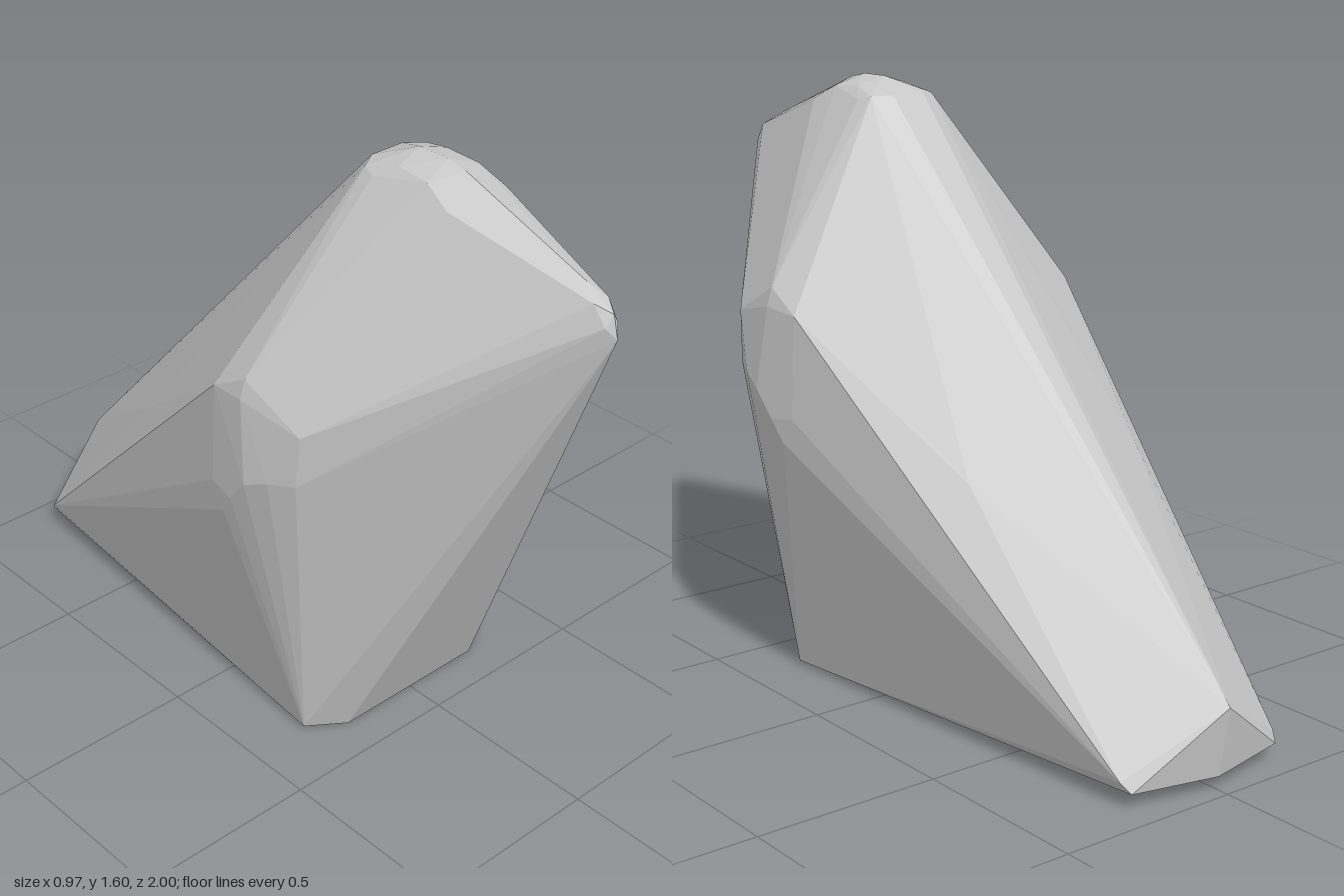
import * as THREE from 'three';
import { ConvexGeometry } from 'three/addons/geometries/ConvexGeometry.js';

// Key points of the faceted shell on the +x side, each mirrored to -x
const base = [
  [0.23, 0, 0.39], [0.335, 0.01, 0.33],
];
const tail = [
  [0, 0.22, -1], [0, 0.035, -0.97], [0.24, 0.04, -0.925], [0.255, 0.065, -0.9],
];
const shoulder = [
  [0.465, 1.04, 0.25], [0.45, 1.09, 0.25], [0.455, 1.03, 0.14], [0.435, 1.0, 0.43],
  [0.44, 0.86, 0.42], [0.47, 0.85, 0.35], [0.485, 0.82, 0.28], [0.48, 0.75, 0.22],
  [0.47, 0.69, 0.18], [0.468, 0.76, 0.14], [0.28, 0.67, -0.36],
];
const nose = [
  [0, 1.34, 1], [0, 1.4, 0.985], [0, 1.45, 0.9],
  [0.022, 1.37, 0.98], [0.025, 1.42, 0.945],
];
const crown = [
  [0, 1.6, 0.46], [0, 1.6, 0.37], [0, 1.588, 0.52], [0.05, 1.558, 0.26],
  [0.1, 1.555, 0.29], [0.115, 1.545, 0.33], [0.08, 1.577, 0.38], [0.085, 1.57, 0.48],
  [0.1, 1.53, 0.56],
];

export function createModel() {
  const stone = new THREE.MeshStandardMaterial({ color: 0xc8c8c8 });
  stone.name = 'pale grey';

  const points = [];
  for (const [x, y, z] of [...base, ...tail, ...shoulder, ...nose, ...crown]) {
    points.push(new THREE.Vector3(x, y, z));
    if (x > 0) points.push(new THREE.Vector3(-x, y, z));
  }

  // Flat facets wrapped around all the points
  const shell = new THREE.Mesh(new ConvexGeometry(points), stone);
  shell.name = 'facetedShell';

  const model = new THREE.Group();
  model.name = 'facetedStone';
  model.add(shell);
  return model;
}
